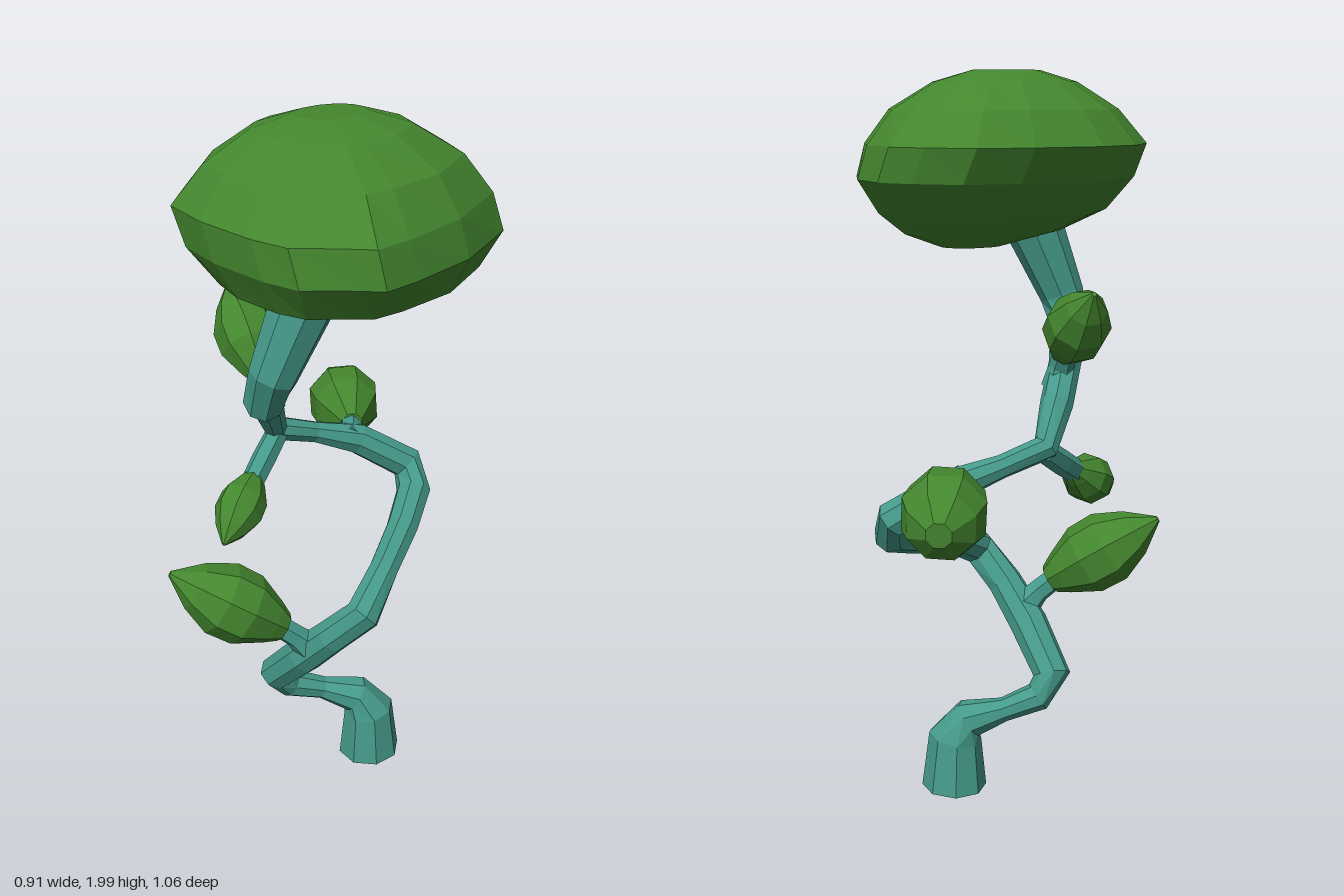
import * as THREE from 'three';

const V = (p) => new THREE.Vector3(...p);
const bark = new THREE.MeshStandardMaterial({ color: 0x459a8b, flatShading: true });
const leaf = new THREE.MeshStandardMaterial({ color: 0x44872f, flatShading: true });

// Skins a stack of equal-sized rings and closes both ends with a fan.
function skin(rings) {
  const n = rings[0].length, last = rings.length - 1, pos = [], index = [];
  rings.forEach((r) => r.forEach((p) => pos.push(p.x, p.y, p.z)));
  for (let i = 0; i < last; i++) {
    for (let j = 0; j < n; j++) {
      const k = (j + 1) % n, a = i * n + j, b = i * n + k;
      index.push(a, b, a + n, b, b + n, a + n);
    }
  }
  [0, last].forEach((e) => {
    const c = new THREE.Vector3();
    rings[e].forEach((p) => c.addScaledVector(p, 1 / n));
    const ci = pos.length / 3;
    pos.push(c.x, c.y, c.z);
    for (let j = 0; j < n; j++) {
      const a = e * n + j, b = e * n + (j + 1) % n;
      if (e) index.push(ci, a, b); else index.push(ci, b, a);
    }
  });
  const g = new THREE.BufferGeometry();
  g.setAttribute('position', new THREE.Float32BufferAttribute(pos, 3));
  g.setIndex(index);
  g.computeVertexNormals();
  return g;
}

// Sweeps a polygon along points [x, y, z, radius] with a twist-free frame.
function sweep(path, sides) {
  const curve = new THREE.CatmullRomCurve3(path.map((p) => V(p.slice(0, 3))), false, 'catmullrom', 0.5);
  const u = new THREE.Vector3(1, 0, 0), v = new THREE.Vector3();
  return skin(path.map((p, i) => {
    const t = curve.getTangent(i / (path.length - 1));
    u.addScaledVector(t, -u.dot(t)).normalize();
    v.crossVectors(t, u);
    return Array.from({ length: sides }, (_, j) => {
      const a = ((j + 0.5) / sides) * Math.PI * 2;
      return V(p.slice(0, 3)).addScaledVector(u, Math.cos(a) * p[3]).addScaledVector(v, Math.sin(a) * p[3]);
    });
  }));
}

// Bud along a straight axis; the profile lists [fraction along, fraction of radius].
function bud(from, to, radius, profile) {
  return sweep(profile.map(([t, r]) => [...V(from).lerp(V(to), t).toArray(), r * radius]), 8);
}

// Crown rings fill given x and z ranges with a lopsided outline, rounder near the poles.
function crown() {
  const outline = [[0.31, 0.02], [0.25, -0.07], [0.15, -0.17], [0, -0.2], [-0.2, -0.2], [-0.33, -0.15],
    [-0.44, -0.03], [-0.45, 0.12], [-0.43, 0.3], [-0.4, 0.4], [-0.31, 0.47], [-0.25, 0.525],
    [-0.15, 0.51], [0.04, 0.46], [0.25, 0.34], [0.31, 0.17]]
    .map(([x, z]) => [(x + 0.07) / 0.38, (z - 0.1625) / 0.3625]);
  // y, x min, x max, z min, z max, roundness
  const levels = [
    [1.53, -0.08, 0.1, 0.06, 0.19, 1], [1.565, -0.26, 0.19, 0, 0.32, 0.7],
    [1.62, -0.39, 0.25, -0.07, 0.46, 0.3], [1.71, -0.44, 0.31, -0.15, 0.525, 0],
    [1.8, -0.45, 0.295, -0.2, 0.505, 0], [1.89, -0.38, 0.23, -0.15, 0.42, 0.3],
    [1.96, -0.27, 0.12, -0.07, 0.28, 0.7], [1.99, -0.17, 0.02, 0.02, 0.16, 1],
  ];
  return skin(levels.map(([y, x0, x1, z0, z1, round]) => outline.map(([ox, oz]) => {
    const k = 1 + round * (1 / Math.hypot(ox, oz) - 1);
    return new THREE.Vector3((x0 + x1 + ox * k * (x1 - x0)) / 2, y, (z0 + z1 + oz * k * (z1 - z0)) / 2);
  })));
}

export function createModel() {
  const group = new THREE.Group();
  const add = (name, geometry, material) => {
    const m = new THREE.Mesh(geometry, material);
    m.name = name;
    group.add(m);
  };

  // Twisting trunk from the flared foot up into the crown
  add('trunk', sweep([
    [0.125, 0, 0.02, 0.092], [0.12, 0.15, 0.02, 0.076], [0.085, 0.205, 0.0, 0.056],
    [0.0, 0.235, -0.05, 0.034], [-0.09, 0.27, -0.085, 0.042], [-0.135, 0.33, -0.085, 0.053],
    [-0.12, 0.45, 0.03, 0.055], [-0.09, 0.55, 0.12, 0.05], [-0.04, 0.64, 0.195, 0.05],
    [0.08, 0.705, 0.13, 0.042], [0.22, 0.755, 0.04, 0.046], [0.33, 0.805, -0.045, 0.05],
    [0.35, 0.865, -0.105, 0.05], [0.22, 0.955, -0.175, 0.046], [0.09, 1.0, -0.21, 0.031],
    [-0.03, 1.04, -0.225, 0.036], [-0.09, 1.14, -0.175, 0.044], [-0.18, 1.225, -0.06, 0.044],
    [-0.27, 1.3, 0.08, 0.053], [-0.27, 1.38, 0.12, 0.062], [-0.2, 1.56, 0.15, 0.08],
    [-0.18, 1.64, 0.16, 0.085],
  ], 8), bark);
  add('crown', crown(), leaf);

  // Short branches, each carrying a bud
  const pointed = [[0, 0.4], [0.1, 0.6], [0.33, 0.98], [0.55, 1], [0.78, 0.65], [1, 0.08]];
  const blunt = [[0, 0.3], [0.12, 0.48], [0.4, 0.9], [0.65, 1], [0.85, 0.8], [1, 0.3]];
  const sprouts = [
    { name: 'lowerLeft', root: [-0.11, 0.48, 0.06, 0.05], from: [-0.19, 0.57, 0.03], to: [-0.45, 0.76, -0.13], r: 0.105, profile: pointed },
    { name: 'smallLeft', root: [-0.03, 1.03, -0.22, 0.032], from: [-0.15, 0.95, -0.16], to: [-0.325, 0.845, -0.05], r: 0.067, profile: pointed },
    { name: 'back', root: [0.19, 0.965, -0.17, 0.04], from: [0.235, 0.98, -0.22], to: [0.41, 0.95, -0.52], r: 0.11, profile: blunt },
    { name: 'upper', root: [-0.13, 1.17, -0.11, 0.045], from: [-0.14, 1.26, -0.12], to: [-0.1, 1.45, -0.34], r: 0.085, profile: pointed },
  ];
  for (const { name, root, from, to, r, profile } of sprouts) {
    const mid = V(root.slice(0, 3)).lerp(V(from), 0.6).toArray();
    const end = V(from).lerp(V(to), 0.12).toArray();
    add(name + 'Branch', sweep([root, [...mid, 0.034], [...end, 0.032]], 6), bark);
    add(name + 'Bud', bud(from, to, r, profile), leaf);
  }
  return group;
}
